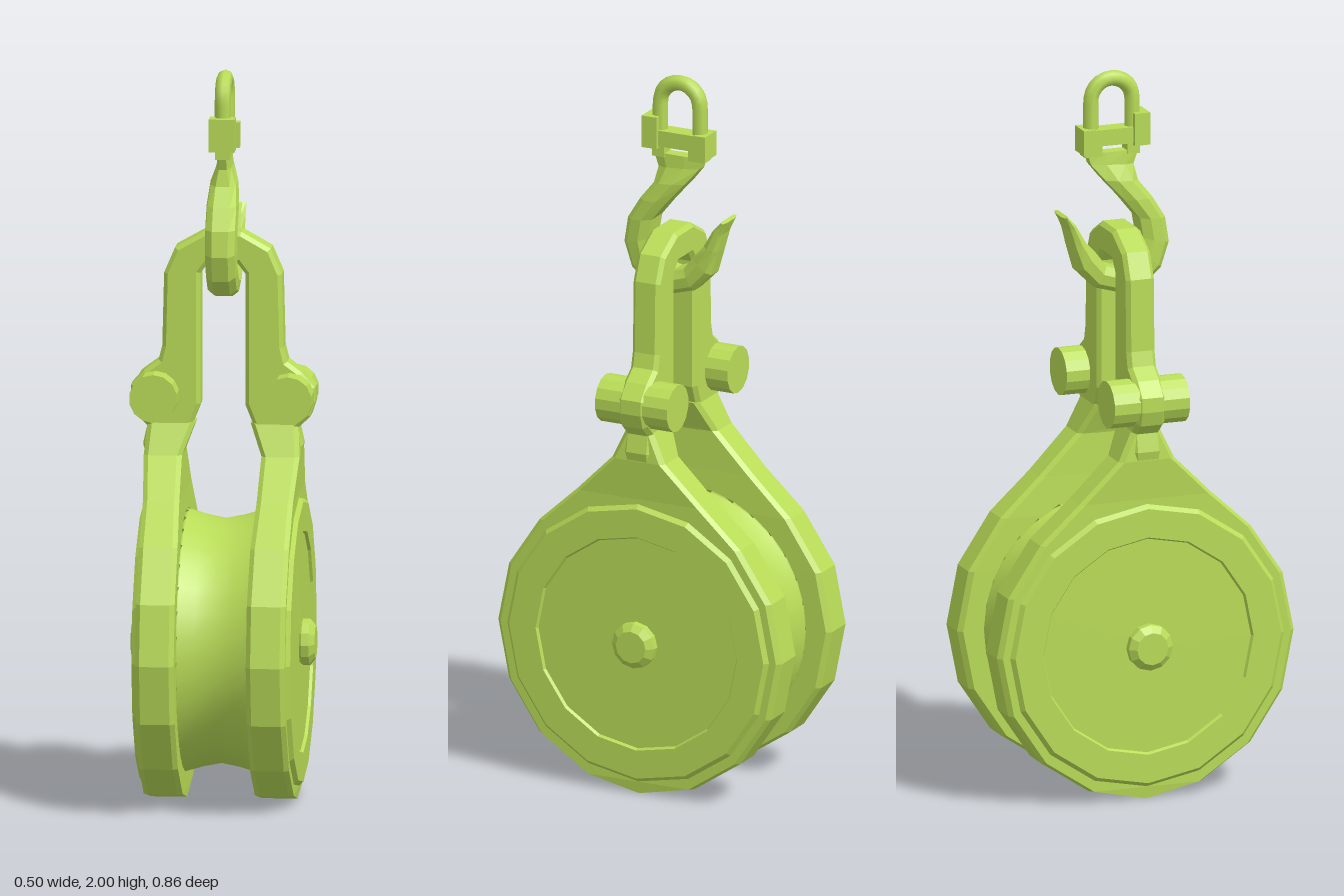
import * as THREE from 'three';

const flatMat = new THREE.MeshStandardMaterial({ color: 0xb9dc57, flatShading: true });
const smoothMat = new THREE.MeshStandardMaterial({ color: 0xb9dc57 });

function add(parent, name, geometry, material = flatMat) {
  const mesh = new THREE.Mesh(geometry, material);
  mesh.name = name;
  parent.add(mesh);
  return mesh;
}

// Skin a list of equal-length rings and cap both ends; faces are turned outward
function loft(rings) {
  const n = rings[0].length, pos = rings.flat(2), idx = [];
  for (let r = 0; r < rings.length - 1; r++)
    for (let i = 0; i < n; i++) {
      const a = r * n + i, b = r * n + (i + 1) % n;
      idx.push(a, b, a + n, b, b + n, a + n);
    }
  const last = (rings.length - 1) * n;
  for (let i = 1; i < n - 1; i++) idx.push(0, i + 1, i, last, last + i, last + i + 1);
  const point = (i) => new THREE.Vector3().fromArray(pos, i * 3);
  let volume = 0;
  for (let i = 0; i < idx.length; i += 3)
    volume += point(idx[i]).dot(point(idx[i + 1]).cross(point(idx[i + 2])));
  if (volume < 0) idx.reverse();
  const g = new THREE.BufferGeometry();
  g.setAttribute('position', new THREE.Float32BufferAttribute(pos, 3));
  g.setIndex(idx);
  g.computeVertexNormals();
  return g;
}

// Turned part about the x axis; profile holds [radius, x] with x rising
function turnedX(profile, sides) {
  const g = new THREE.LatheGeometry(profile.map(([r, x]) => new THREE.Vector2(r, x)), sides);
  return g.rotateZ(-Math.PI / 2);
}

function box(parent, name, x, y, z, w, h, d) {
  const m = add(parent, name, new THREE.BoxGeometry(w, h, d));
  m.position.set(x, y, z);
  return m;
}

export function createModel() {
  const root = new THREE.Group();
  root.name = 'pulleyBlock';
  const axleY = 0.435;

  // Grooved wheel
  const groove = [[0, -0.11], [0.365, -0.11], [0.355, -0.095], [0.342, -0.05], [0.332, 0],
    [0.342, 0.05], [0.355, 0.095], [0.365, 0.11], [0, 0.11]];
  add(root, 'sheave', turnedX(groove, 32), smoothMat).position.y = axleY;

  // Cheek plates: 16-sided disc drawn up into a narrow neck
  const R = 0.43;
  const rows = [[axleY - R, 0.012, 0.1, 0.2]];
  for (let i = 1; i <= 6; i++) {
    const a = i * Math.PI / 8;
    if (i < 6) rows.push([axleY - R * Math.cos(a), R * Math.sin(a), 0.098, 0.204]);
  }
  rows.push([0.74, 0.304, 0.099, 0.204], [0.845, 0.19, 0.105, 0.204],
    [0.955, 0.08, 0.108, 0.212], [1.04, 0.04, 0.075, 0.205]);
  const plateRings = rows.map(([y, hz, x0, x1]) => {
    const b = 0.013, c = Math.min(b, hz * 0.5);
    return [[x0 + b, y, -hz], [x1 - b, y, -hz], [x1, y, -hz + c], [x1, y, hz - c],
      [x1 - b, y, hz], [x0 + b, y, hz], [x0, y, hz - c], [x0, y, -hz + c]];
  });

  for (const [name, turn] of [['leftSide', 0], ['rightSide', Math.PI]]) {
    const side = new THREE.Group();
    side.name = name;
    side.rotation.y = turn;
    root.add(side);
    add(side, 'cheekPlate', loft(plateRings));
    // Raised ring around a slightly sunken disc
    add(side, 'cheekCover', turnedX([[0.4, 0.2], [0.385, 0.216], [0.305, 0.216], [0.3, 0.208], [0, 0.209]], 16))
      .position.y = axleY;
    add(side, 'axleEnd', turnedX([[0.052, 0.2], [0.064, 0.215], [0.064, 0.235], [0.045, 0.25], [0, 0.25]], 12))
      .position.y = axleY;
    // Cross pin through the shackle foot
    const pin = add(side, 'shacklePin', new THREE.CylinderGeometry(0.066, 0.066, 0.218, 14).rotateX(Math.PI / 2));
    pin.position.set(0.183, 1.115, 0);
  }

  // Shackle bow: one mirrored profile
  const outer = [[0.208, 0.94], [0.217, 0.98], [0.206, 1.03], [0.238, 1.06], [0.251, 1.1], [0.25, 1.14],
    [0.215, 1.18], [0.175, 1.21], [0.165, 1.25], [0.16, 1.45], [0.13, 1.52], [0.05, 1.565]];
  const inner = [[0.04, 1.478], [0.061, 1.45], [0.061, 1.09], [0.085, 1.03], [0.106, 0.96], [0.112, 0.94]];
  const mirror = (list) => list.map(([x, y]) => [-x, y]).reverse();
  const outline = [...outer, ...mirror(outer), ...mirror(inner), ...inner];
  const bow = new THREE.ExtrudeGeometry(
    new THREE.Shape(outline.map(([x, y]) => new THREE.Vector2(x, y))),
    { depth: 0.06, bevelEnabled: true, bevelThickness: 0.011, bevelSize: 0.011, bevelOffset: -0.011, bevelSegments: 1 });
  add(root, 'shackleBow', bow.translate(0, 0, -0.03));

  // Hook: each row is outer z,y, inner z,y and half width
  const hookRows = [
    [0.05, 1.775, -0.11, 1.775, 0.018], [0.035, 1.735, -0.1, 1.745, 0.022], [0.045, 1.69, -0.06, 1.7, 0.038],
    [0.085, 1.64, -0.005, 1.64, 0.044], [0.122, 1.58, 0.04, 1.585, 0.044], [0.133, 1.51, 0.05, 1.53, 0.044],
    [0.11, 1.44, 0.045, 1.49, 0.044], [0.06, 1.395, 0.02, 1.462, 0.044], [-0.01, 1.38, -0.015, 1.452, 0.044],
    [-0.08, 1.4, -0.05, 1.465, 0.044], [-0.13, 1.45, -0.075, 1.5, 0.044], [-0.15, 1.52, -0.11, 1.535, 0.044],
    [-0.162, 1.57, -0.14, 1.585, 0.045], [-0.178, 1.607, -0.166, 1.612, 0.045]];
  const section = [[0, 0.5], [0.2, 0.9], [0.6, 1], [0.93, 0.75]];
  const loop = [...section, ...section.map(([t, w]) => [t, -w]).reverse()];
  add(root, 'hook', loft(hookRows.map(([z0, y0, z1, y1, w]) =>
    loop.map(([t, s]) => [s * w, y0 + (y1 - y0) * t, z0 + (z1 - z0) * t]))));

  // Swivel fork and pin above the hook
  box(root, 'forkProngFront', 0, 1.79, 0.032, 0.04, 0.05, 0.036);
  box(root, 'forkProngBack', 0, 1.79, -0.083, 0.04, 0.05, 0.05);
  box(root, 'swivelBar', 0, 1.818, -0.02, 0.05, 0.045, 0.17);
  box(root, 'swivelHead', 0, 1.835, 0.052, 0.07, 0.09, 0.045);
  box(root, 'swivelNut', 0, 1.81, -0.1, 0.068, 0.07, 0.034);

  // Top link: open loop of round bar
  const path = new THREE.CurvePath();
  const v = (y, z) => new THREE.Vector3(0, y, z);
  const c = -0.025, r = 0.06;
  const arc = [];
  for (let i = 0; i <= 8; i++) {
    const a = i * Math.PI / 8;
    arc.push(v(1.918 + r * Math.sin(a), c + r * Math.cos(a)));
  }
  path.add(new THREE.LineCurve3(v(1.81, c + r), arc[0]));
  path.add(new THREE.CatmullRomCurve3(arc));
  path.add(new THREE.LineCurve3(arc[8], v(1.81, c - r)));
  add(root, 'topLink', new THREE.TubeGeometry(path, 24, 0.022, 8), smoothMat);

  return root;
}
